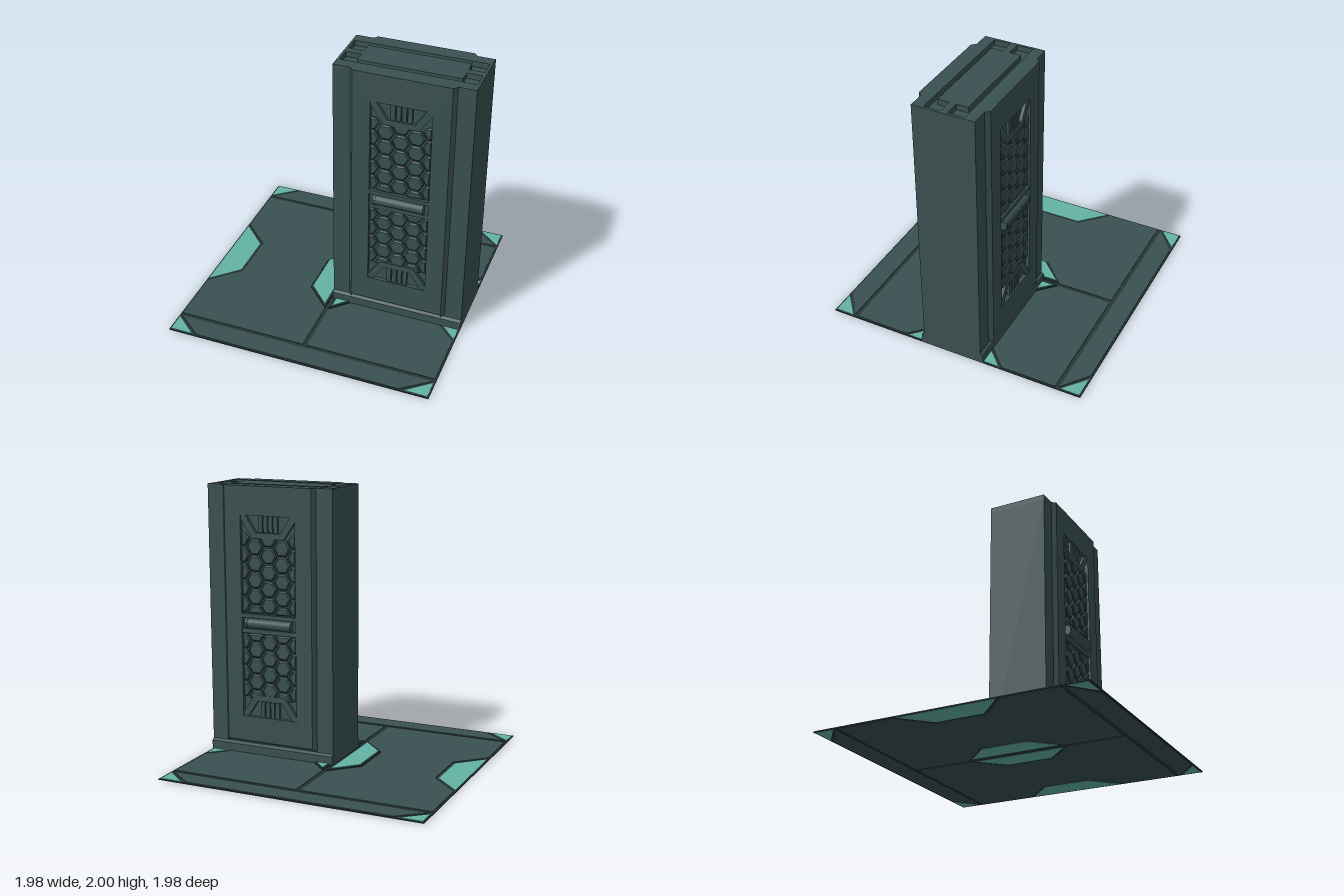
import * as THREE from 'three';

const body = new THREE.MeshStandardMaterial({ color: 0x3a5050 });
body.name = 'darkSlate';
const trim = new THREE.MeshStandardMaterial({ color: 0x273737 });
trim.name = 'darkTrim';
const teal = new THREE.MeshStandardMaterial({ color: 0x63b3a4 });
teal.name = 'tealInlay';

function add(parent, name, geometry, material) {
  const m = new THREE.Mesh(geometry, material);
  m.name = name;
  parent.add(m);
  return m;
}

const toShape = pts => new THREE.Shape(pts.map(p => new THREE.Vector2(p[0], p[1])));
const prism = (shape, depth) => new THREE.ExtrudeGeometry(shape, { depth, bevelEnabled: false });

// Box given by its limits
function block(parent, name, x0, x1, y0, y1, z0, z1, mat = body) {
  const g = new THREE.BoxGeometry(x1 - x0, y1 - y0, z1 - z0);
  g.translate((x0 + x1) / 2, (y0 + y1) / 2, (z0 + z1) / 2);
  return add(parent, name, g, mat);
}

// Horizontal slab with an outline in x and z
function slab(parent, name, pts, y0, y1, mat) {
  const g = prism(toShape(pts.map(([x, z]) => [x, -z])), y1 - y0);
  g.rotateX(-Math.PI / 2).translate(0, y0, 0);
  return add(parent, name, g, mat);
}

function buildFloor() {
  const floor = new THREE.Group();
  floor.name = 'floor';
  block(floor, 'floorTrim', -0.988, 0.988, 0.002, 0.009, -0.988, 0.988, trim);
  for (const s of [-1, 1]) {
    // Edge strip with cut corners
    slab(floor, 'edgeStrip', [[-0.77, 0.975 * s], [0.77, 0.975 * s], [0.965, 0.825 * s], [-0.965, 0.825 * s]], 0, 0.014, body);
    // Main panel with notches on both long sides
    const half = [[0.015, 0.795], [0.975, 0.795], [0.975, 0.385], [0.77, 0.185],
      [0.77, -0.185], [0.975, -0.385], [0.975, -0.795], [0.015, -0.795],
      [0.015, -0.37], [0.208, -0.18], [0.208, 0.18], [0.015, 0.37]];
    slab(floor, 'floorPanel', half.map(([x, z]) => [x * s, z]), 0, 0.014, body);
    // Edge inlay
    slab(floor, 'edgeInlay', [[0.978, 0.36], [0.978, -0.36], [0.79, -0.175], [0.79, 0.175]].map(([x, z]) => [x * s, z]), 0, 0.013, teal);
    // Raised centre inlay and its rim
    slab(floor, 'centreRim', [[0.015, 0.365], [0.015, -0.365], [0.203, -0.178], [0.203, 0.178]].map(([x, z]) => [x * s, z]), 0.002, 0.021, trim);
    slab(floor, 'centreInlay', [[0.03, 0.335], [0.03, -0.335], [0.19, -0.17], [0.19, 0.17]].map(([x, z]) => [x * s, z]), 0, 0.025, teal);
    // Corner inlays
    for (const t of [-1, 1]) {
      slab(floor, 'cornerInlay', [[0.977 * s, 0.977 * t], [0.81 * s, 0.977 * t], [0.977 * s, 0.837 * t]], 0, 0.013, teal);
    }
  }
  return floor;
}

// Bevelled hexagon tiles in columns, clipped to the window
function hexTiles(parent, yMin, yMax, firstRow, step) {
  const clamp = THREE.MathUtils.clamp;
  for (let c = -2; c <= 2; c++) {
    const odd = Math.abs(c) === 1;
    for (let r = 0; r < 6; r++) {
      const cx = c * 0.109;
      const cy = firstRow + step * (r - (odd ? 0.5 : 0));
      if (cy < yMin - 0.01 || cy > yMax + 0.01) continue;
      const pts = [];
      for (let k = 0; k < 6; k++) {
        const a = k * Math.PI / 3;
        pts.push([clamp(cx + 0.053 * Math.cos(a), -0.207, 0.207),
          clamp(cy + 0.053 * Math.sin(a), yMin + 0.01, yMax - 0.01)]);
      }
      const unique = pts.filter((p, i) => {
        const q = pts[(i + 5) % 6];
        return Math.hypot(p[0] - q[0], p[1] - q[1]) > 0.001;
      });
      const g = new THREE.ExtrudeGeometry(toShape(unique), {
        depth: 0.015, bevelThickness: 0.008, bevelSize: 0.009, bevelSegments: 1 });
      g.translate(0, 0, 0.222);
      add(parent, 'hexTile', g, body);
    }
  }
}

// Slatted vent with its angled frame; dir points toward the outer end
function vent(parent, yEnd, dir) {
  const y = d => yEnd - dir * d;
  const band = [[-0.2175, 0.03], [-0.125, 0.165], [0.125, 0.165], [0.2175, 0.03],
    [0.2175, 0], [0.178, 0], [0.098, 0.122], [-0.098, 0.122], [-0.178, 0], [-0.2175, 0]];
  const g = prism(toShape(band.map(([x, d]) => [x, y(d)])), 0.026);
  g.translate(0, 0, 0.223);
  add(parent, 'ventFrame', g, body);
  const [a, b] = [y(0), y(0.118)].sort((p, q) => p - q);
  for (let i = 0; i < 4; i++) {
    const x = -0.06 + i * 0.04;
    block(parent, 'ventSlat', x - 0.016, x + 0.016, a, b, 0.22, 0.245);
  }
}

function buildFace() {
  const face = new THREE.Group();
  face.name = 'wallFace';
  // Panel with a window
  const shape = toShape([[-0.345, 0.115], [0.345, 0.115], [0.345, 2], [-0.345, 2]]);
  shape.holes.push(toShape([[-0.2175, 0.305], [-0.2175, 1.79], [0.2175, 1.79], [0.2175, 0.305]]));
  const plate = prism(shape, 0.03);
  plate.translate(0, 0, 0.225);
  add(face, 'facePanel', plate, body);
  // Sloped panel edges
  for (const s of [-1, 1]) {
    const edge = prism(toShape([[0.345 * s, -0.225], [0.37 * s, -0.225], [0.345 * s, -0.255]]), 1.9);
    edge.rotateX(-Math.PI / 2).translate(0, 0.1, 0);
    add(face, 'panelSideEdge', edge, body);
  }
  const lower = prism(toShape([[-0.225, 0.1], [-0.225, 0.115], [-0.255, 0.115]]), 0.69);
  lower.rotateY(Math.PI / 2).translate(-0.345, 0, 0);
  add(face, 'panelLowerEdge', lower, body);
  // Grille and vents
  hexTiles(face, 1.078, 1.66, 1.14, 0.121);
  hexTiles(face, 0.44, 0.928, 0.505, 0.121);
  vent(face, 1.79, 1);
  vent(face, 0.305, -1);
  // Cross bars and handle
  block(face, 'upperBar', -0.2175, 0.2175, 1.045, 1.075, 0.22, 0.25);
  block(face, 'lowerBar', -0.2175, 0.2175, 0.932, 0.965, 0.22, 0.25);
  const grip = add(face, 'handle', new THREE.CylinderGeometry(0.037, 0.037, 0.34, 24).rotateZ(Math.PI / 2), body);
  grip.position.set(0, 1.004, 0.24);
  for (const s of [-1, 1]) {
    const end = add(face, 'handleEnd', new THREE.CylinderGeometry(0.043, 0.043, 0.018, 24).rotateZ(Math.PI / 2), body);
    end.position.set(0.174 * s, 1.004, 0.238);
  }
  return face;
}

function buildWall() {
  const wall = new THREE.Group();
  wall.name = 'wall';
  wall.position.x = 0.495;
  block(wall, 'wallCore', -0.495, 0.495, 0.005, 1.96, -0.225, 0.225);
  // Top cap with two C-shaped slots
  const cap = toShape([[-0.495, -0.225], [0.495, -0.225], [0.495, 0.225], [-0.495, 0.225]]);
  for (const s of [-1, 1]) {
    cap.holes.push(toShape([[-0.475, 0.145], [0.475, 0.145], [0.475, 0.025], [0.365, 0.025],
      [0.365, 0.11], [-0.365, 0.11], [-0.365, 0.025], [-0.475, 0.025]].map(([x, z]) => [x, z * s])));
  }
  const top = prism(cap, 0.04);
  top.rotateX(-Math.PI / 2).translate(0, 1.96, 0);
  add(wall, 'topCap', top, body);
  // Plinth with sloped upper edge
  const plinth = prism(toShape([[-0.245, 0.005], [0.245, 0.005], [0.245, 0.075], [0.225, 0.09],
    [-0.225, 0.09], [-0.245, 0.075]]), 0.99);
  plinth.rotateY(Math.PI / 2).translate(-0.495, 0, 0);
  add(wall, 'plinth', plinth, body);
  // Same face on front and back
  const front = buildFace();
  const back = front.clone();
  back.rotation.y = Math.PI;
  wall.add(front, back);
  return wall;
}

export function createModel() {
  const model = new THREE.Group();
  model.name = 'wallTile';
  model.add(buildFloor(), buildWall());
  return model;
}
